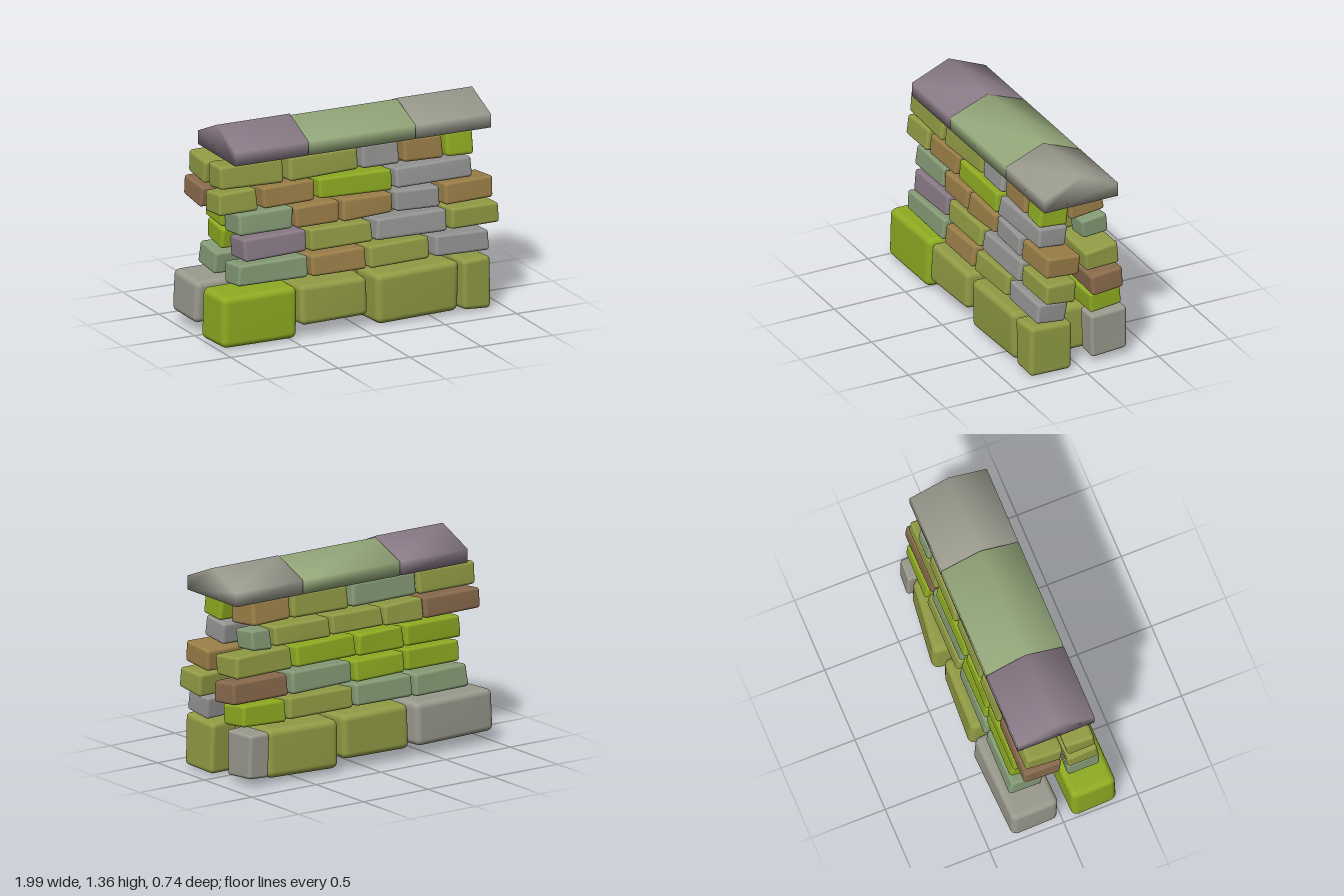
import * as THREE from 'three';
import { mergeVertices } from 'three/addons/utils/BufferGeometryUtils.js';
import { RoundedBoxGeometry } from 'three/addons/geometries/RoundedBoxGeometry.js';

const COLORS = {
  lime: 0x8fac22, olive: 0x929c45, brown: 0x9b7f48, russet: 0x8a6b4d, warmGrey: 0x9b9a8e,
  coolGrey: 0x959594, sage: 0x869c77, mauve: 0x8a7b87, moss: 0x93a679,
};

// Courses from the ground up: y range, z range, lean, then stones [x0, x1, colour, overrides]
const FRONT = [
  { y: [0.02, 0.38], z: [0.04, 0.38], lean: 0.02, stones: [
    [-0.99, -0.45, 'lime', { yaw: 0.03 }], [-0.44, 0.05, 'olive', { y: [0.09, 0.37], z: [0.05, 0.37] }],
    [0.09, 0.68, 'olive', { z: [0.04, 0.37] }], [0.69, 0.91, 'olive', { z: [0.05, 0.37] }]] },
  { y: [0.38, 0.545], z: [0.08, 0.32], stones: [
    [-0.85, -0.36, 'sage'], [-0.34, 0.05, 'brown'], [0.07, 0.5, 'olive'], [0.52, 0.91, 'coolGrey']] },
  { y: [0.54, 0.705], z: [0.06, 0.3], stones: [
    [-0.8, -0.35, 'mauve'], [-0.34, 0.11, 'olive'], [0.13, 0.63, 'coolGrey'], [0.65, 0.99, 'olive']] },
  { y: [0.7, 0.865], z: [0.02, 0.28], stones: [
    [-0.82, -0.44, 'sage'], [-0.43, -0.12, 'brown'], [-0.1, 0.25, 'brown'],
    [0.27, 0.59, 'coolGrey'], [0.61, 0.96, 'brown']] },
  { y: [0.855, 1.015], z: [0.035, 0.265], stones: [
    [-0.96, -0.68, 'olive'], [-0.65, -0.28, 'brown'], [-0.26, 0.26, 'lime'], [0.28, 0.82, 'coolGrey']] },
  { y: [1.01, 1.19], z: [0.035, 0.255], stones: [
    [-0.94, -0.49, 'olive'], [-0.46, 0.03, 'olive'], [0.05, 0.32, 'coolGrey'],
    [0.34, 0.62, 'brown'], [0.64, 0.84, 'lime']] },
];
const BACK = [
  { y: [0.04, 0.385], z: [-0.365, 0.03], lean: 0.03, stones: [
    [-0.99, -0.37, 'warmGrey', { y: [0.08, 0.38], z: [-0.365, -0.02], yaw: 0.03 }],
    [-0.34, 0.17, 'olive', { y: [0.07, 0.38], yaw: -0.05 }],
    [0.2, 0.73, 'olive', { z: [-0.38, 0.03], yaw: -0.1 }],
    [0.74, 0.9, 'warmGrey', { y: [0.06, 0.38], z: [-0.35, -0.07] }]] },
  { y: [0.38, 0.55], z: [-0.3, -0.05], stones: [
    [-0.83, -0.42, 'sage'], [-0.41, 0.03, 'sage'], [0.05, 0.55, 'olive'], [0.57, 0.91, 'lime']] },
  { y: [0.54, 0.705], z: [-0.28, -0.04], stones: [
    [-0.79, -0.37, 'lime'], [-0.36, 0.03, 'lime'], [0.05, 0.52, 'sage'], [0.54, 0.97, 'russet']] },
  { y: [0.7, 0.865], z: [-0.27, -0.01], stones: [
    [-0.8, -0.37, 'lime'], [-0.36, -0.01, 'lime'], [0.01, 0.48, 'lime'], [0.5, 0.94, 'olive']] },
  { y: [0.855, 1.015], z: [-0.255, 0.01], stones: [
    [-0.96, -0.53, 'russet'], [-0.52, -0.22, 'olive'], [-0.21, 0.18, 'olive'],
    [0.2, 0.63, 'olive'], [0.65, 0.81, 'sage', { z: [-0.255, -0.05] }]] },
  { y: [1.01, 1.19], z: [-0.235, 0.03], stones: [
    [-0.94, -0.49, 'olive'], [-0.48, 0.02, 'sage'], [0.04, 0.47, 'olive'], [0.49, 0.79, 'brown']] },
];

let seed = 11;
const rand = () => {
  seed = (seed * 16807) % 2147483647;
  return seed / 2147483647;
};

function smooth(geometry) {
  geometry.deleteAttribute('normal');
  geometry.deleteAttribute('uv');
  geometry.clearGroups();
  const merged = mergeVertices(geometry, 1e-4);
  merged.computeVertexNormals();
  return merged;
}

// Rounded block whose eight corners are pulled slightly inwards by different amounts
function stoneGeometry(w, h, d) {
  const radius = Math.min(w, h, d) * 0.14;
  const geo = new RoundedBoxGeometry(w, h, d, 3, radius);
  const amount = 0.015 + 0.05 * Math.max(0, h - 0.2);
  const corners = Array.from({ length: 8 }, () =>
    new THREE.Vector3(rand(), rand(), rand()).multiplyScalar(-amount));
  const p = geo.attributes.position;
  for (let i = 0; i < p.count; i++) {
    const v = new THREE.Vector3().fromBufferAttribute(p, i);
    const u = [v.x / w + 0.5, v.y / h + 0.5, v.z / d + 0.5];
    const shift = new THREE.Vector3();
    corners.forEach((c, k) => {
      const s = [k & 1, (k >> 1) & 1, k >> 2];
      const weight = s.reduce((m, on, a) => m * (on ? u[a] : 1 - u[a]), 1);
      shift.x += weight * c.x * (s[0] ? 1 : -1);
      shift.y += weight * c.y * (s[1] ? 1 : -1);
      shift.z += weight * c.z * (s[2] ? 1 : -1);
    });
    v.add(shift);
    p.setXYZ(i, v.x, v.y, v.z);
  }
  return smooth(geo);
}

// One face of the wall; side is 1 for the front and -1 for the back
function buildFace(courses, side, name, mats) {
  const face = new THREE.Group();
  face.name = name;
  courses.forEach((course, row) => {
    const group = new THREE.Group();
    group.name = row ? `${name}Course${row}` : `${name}Foundation`;
    for (const [x0, x1, colour, extra = {}] of course.stones) {
      const { y, z, lean = 0.1, yaw = 0 } = { ...course, ...extra };
      const dy = y[1] - y[0], dz = z[1] - z[0], dx = x1 - x0;
      const w = dx + 0.006;
      const h = dy - lean * dz * 0.5;
      const d = dz - lean * dy * 0.7 - Math.abs(yaw) * dx * 0.6;
      const stone = new THREE.Mesh(stoneGeometry(w, h, d), mats[colour]);
      stone.name = row ? 'wallStone' : 'foundationStone';
      stone.position.set((x0 + x1) / 2, (y[0] + y[1]) / 2, (z[0] + z[1]) / 2);
      stone.rotation.set(-side * lean, yaw, (rand() - 0.5) * 0.025);
      group.add(stone);
    }
    face.add(group);
  });
  return face;
}

// Gabled coping stone running along x
function copingStone(x0, x1, apex, material) {
  const shape = new THREE.Shape([
    new THREE.Vector2(-0.27, 1.19), new THREE.Vector2(0.25, 1.19), new THREE.Vector2(0.25, 1.28),
    new THREE.Vector2(-0.01, apex), new THREE.Vector2(-0.27, 1.28),
  ]);
  const geo = new THREE.ExtrudeGeometry(shape, { depth: x1 - x0, bevelEnabled: false });
  geo.rotateY(Math.PI / 2);
  geo.translate(x0, 0, 0);
  const mesh = new THREE.Mesh(smooth(geo), material);
  mesh.name = 'copingStone';
  return mesh;
}

export function createModel() {
  const mats = {};
  for (const [name, color] of Object.entries(COLORS)) {
    mats[name] = new THREE.MeshStandardMaterial({ color });
    mats[name].name = name;
  }
  const model = new THREE.Group();
  model.name = 'stoneWall';
  model.add(buildFace(FRONT, 1, 'frontFace', mats), buildFace(BACK, -1, 'backFace', mats));

  const coping = new THREE.Group();
  coping.name = 'coping';
  coping.add(
    copingStone(-0.85, -0.34, 1.39, mats.mauve),
    copingStone(-0.33, 0.41, 1.38, mats.moss),
    copingStone(0.42, 0.935, 1.385, mats.warmGrey),
  );
  model.add(coping);
  return model;
}
